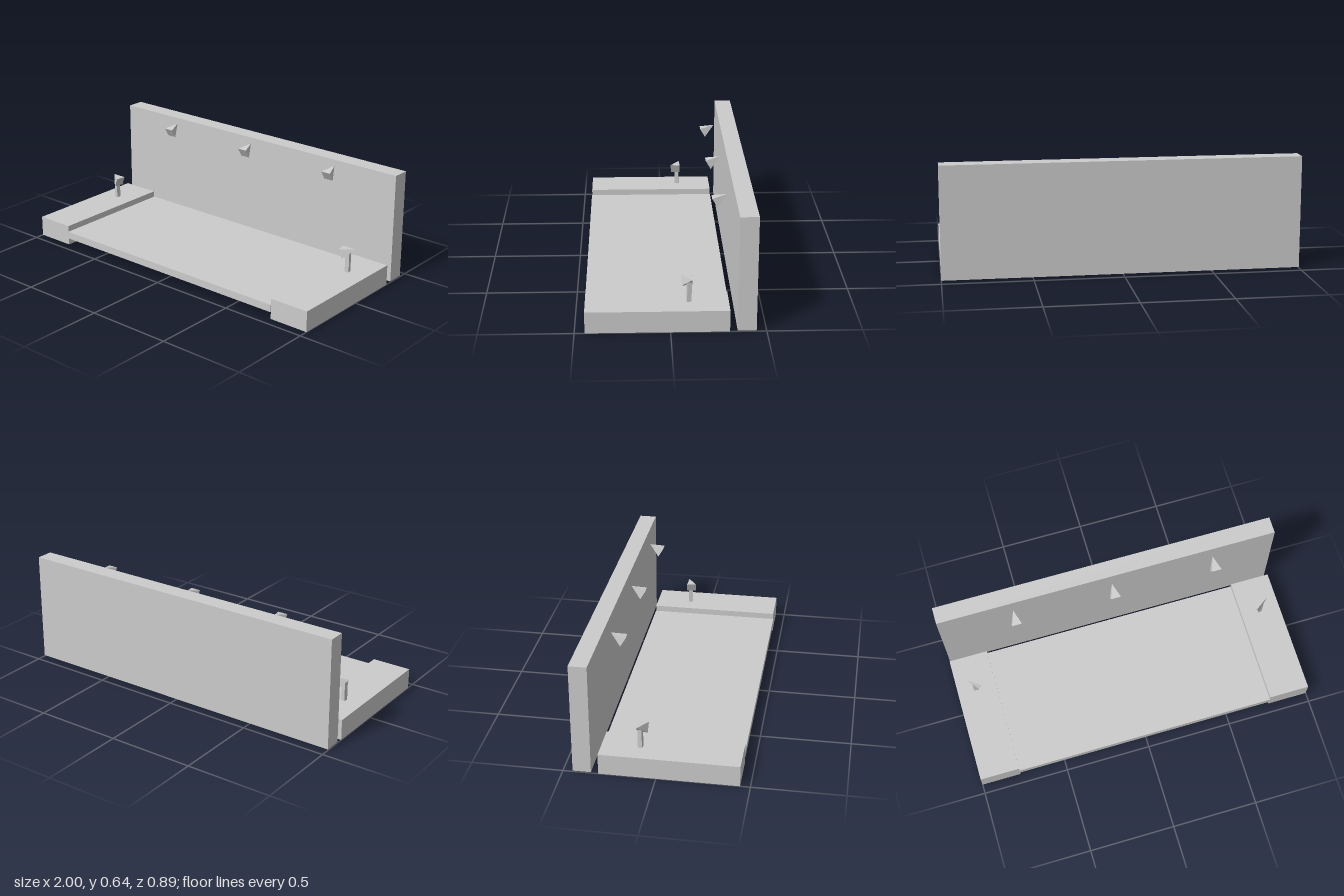
import * as THREE from 'three';
import { ConvexGeometry } from 'three/addons/geometries/ConvexGeometry.js';

const solid = new THREE.MeshStandardMaterial({ color: 0xcccccc, flatShading: true });
const shell = new THREE.MeshStandardMaterial({ color: 0xcccccc, flatShading: true, side: THREE.DoubleSide });

// Box given by its min and max corners; openBelow removes the bottom face
function box(name, min, max, openBelow = false) {
  const size = max.map((v, i) => v - min[i]);
  const geo = new THREE.BoxGeometry(...size);
  if (openBelow) {
    const index = Array.from(geo.index.array);
    index.splice(18, 6);
    geo.setIndex(index);
    geo.clearGroups();
  }
  const mesh = new THREE.Mesh(geo, openBelow ? shell : solid);
  mesh.position.set(...min.map((v, i) => v + size[i] / 2));
  mesh.name = name;
  return mesh;
}

// Four-sided lamp head: apex first, then the four corners of its face
function lampHead(name, points) {
  const mesh = new THREE.Mesh(new ConvexGeometry(points.map(p => new THREE.Vector3(...p))), solid);
  mesh.name = name;
  return mesh;
}

export function createModel() {
  const model = new THREE.Group();
  model.name = 'stage';

  // Back wall and hollow stage floor
  model.add(box('backWall', [-1, 0.005, -0.447], [1, 0.639, -0.348]));
  model.add(box('stageFloor', [-0.77, 0.04, -0.311], [0.765, 0.083, 0.448], true));

  // Raised hollow side platforms
  model.add(box('rightPlatform', [-1, 0, -0.309], [-0.77, 0.119, 0.446], true));
  model.add(box('leftPlatform', [0.765, 0, -0.309], [1, 0.119, 0.446], true));

  // Lamps in front of the wall, tilted down toward the audience
  [-0.565, 0.015, 0.615].forEach((x, i) => {
    const h = 0.029;
    model.add(lampHead('wallLamp' + (i + 1), [
      [x, 0.617, -0.314],
      [x - h, 0.6, -0.23], [x + h, 0.6, -0.23],
      [x - h, 0.55, -0.26], [x + h, 0.55, -0.26],
    ]));
  });

  // Standing lamps on the platforms, turned inward
  for (const s of [-1, 1]) {
    const lamp = new THREE.Group();
    lamp.name = s < 0 ? 'rightStandingLamp' : 'leftStandingLamp';
    lamp.position.x = -0.007;
    const pole = box('pole', [-0.012, 0.119, -0.012], [0.012, 0.232, 0.012]);
    pole.position.x = s * 0.882;
    pole.position.z = -0.1;
    pole.rotation.y = s * 0.16;
    lamp.add(pole, lampHead('lampHead', [
      [s * 0.921, 0.255, -0.115],
      [s * 0.835, 0.254, -0.118], [s * 0.843, 0.254, -0.06],
      [s * 0.865, 0.2, -0.063], [s * 0.857, 0.2, -0.12],
    ]));
    model.add(lamp);
  }

  return model;
}
